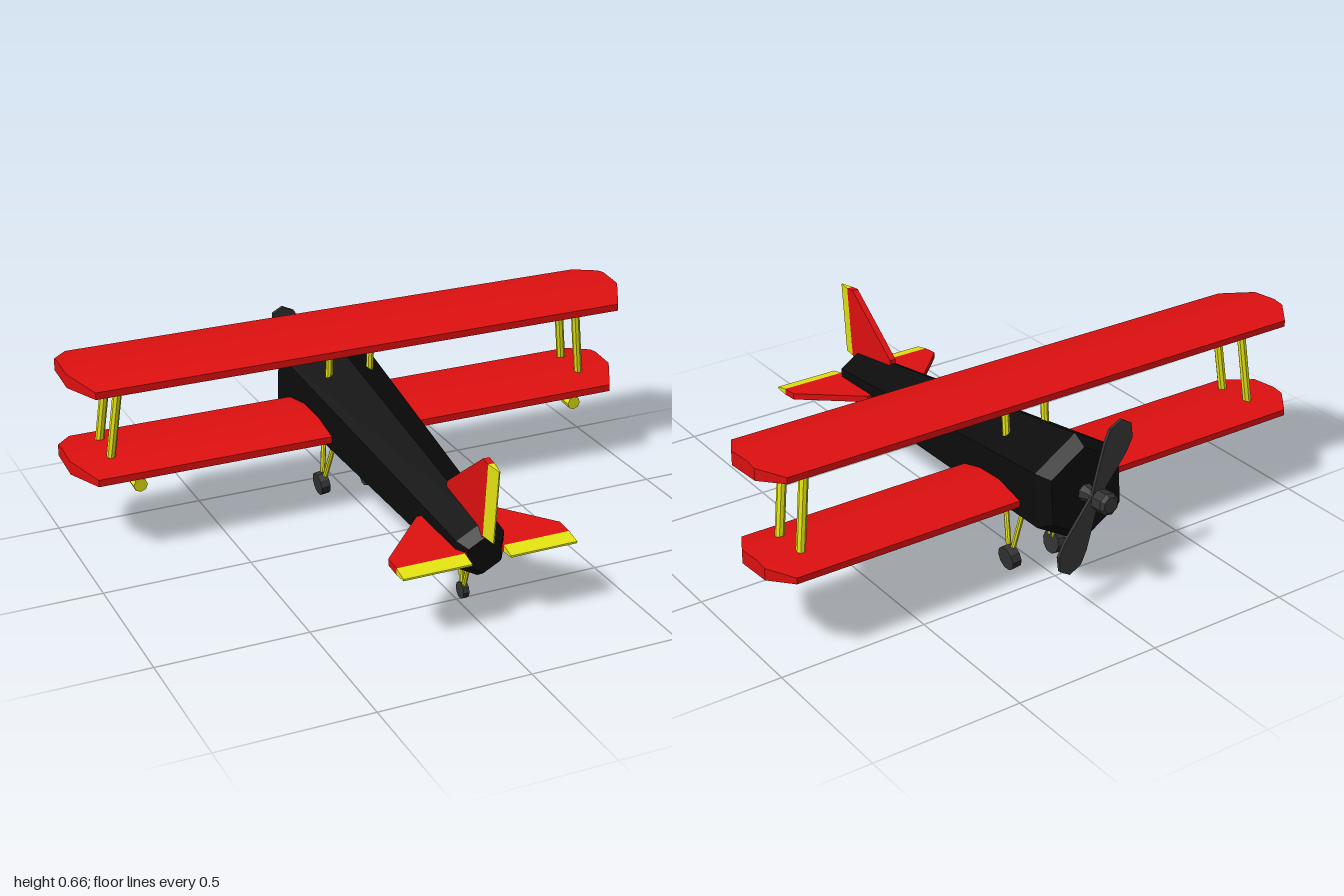
import * as THREE from 'three';
import { ConvexGeometry } from 'three/addons/geometries/ConvexGeometry.js';
import { toCreasedNormals } from 'three/addons/utils/BufferGeometryUtils.js';

const TILT = 0.097; // nose-up attitude of the body
const V = (x, y, z) => new THREE.Vector3(x, y, z);
const material = (color, flatShading = true) => new THREE.MeshStandardMaterial({ color, flatShading });

export function createModel() {
  const model = new THREE.Group();
  const black = material(0x0c0c0c), grey = material(0x333333);
  const red = material(0xe01010), yellow = material(0xe6e612);
  const smoothRed = material(0xe01010, false);

  const add = (name, geometry, mat, parent = model) => {
    const mesh = new THREE.Mesh(geometry, mat);
    mesh.name = name;
    parent.add(mesh);
    return mesh;
  };

  // Round bar between two points
  const bar = (name, a, b, radius, mat = yellow, sides = 8) => {
    const dir = b.clone().sub(a);
    const mesh = add(name, new THREE.CylinderGeometry(radius, radius, dir.length(), sides), mat);
    mesh.position.copy(a).add(b).multiplyScalar(0.5);
    mesh.quaternion.setFromUnitVectors(V(0, 1, 0), dir.normalize());
    return mesh;
  };

  // Turned body with its axis along z
  const turned = (points, sides) =>
    new THREE.LatheGeometry(points.map(([r, t]) => new THREE.Vector2(r, t)), sides).rotateX(Math.PI / 2);

  // Six-sided tapering fuselage with bevelled ends
  const body = add('fuselage', turned(
    [[0, 0], [0.148, 0], [0.18, 0.045], [0.094, 1.3], [0.065, 1.336], [0, 1.336]], 6), black);
  body.position.set(0, 0.378, -0.645);
  body.rotation.x = TILT;

  // Wings: cambered section with clipped tips
  const section = [[-0.152, 0.6], [-0.152, 0.624], [-0.246, 0.653], [-0.36, 0.665], [-0.48, 0.645], [-0.48, 0.624]];
  const tip = [[-0.265, 0.608], [-0.265, 0.655], [-0.36, 0.664], [-0.4, 0.658], [-0.4, 0.618]];
  const wingPoints = [];
  for (const s of [-1, 1]) {
    section.forEach(([z, y]) => wingPoints.push(V(s * 0.94, y, z)));
    tip.forEach(([z, y]) => wingPoints.push(V(s, y, z)));
  }
  const wing = toCreasedNormals(new ConvexGeometry(wingPoints), 0.5);
  add('upperWing', wing, smoothRed);
  add('lowerWing', wing, smoothRed).position.set(0, -0.315, -0.03);

  // Upright tail panel from [z, y, half thickness]
  const upright = (name, pts, mat) => add(name, new ConvexGeometry(
    pts.flatMap(([z, y, t]) => [V(t, y, z), V(-t, y, z)])), mat);
  upright('fin', [[0.443, 0.394, 0.011], [0.68, 0.571, 0.011], [0.715, 0.567, 0.011],
    [0.69, 0.32, 0.011], [0.67, 0.29, 0.011], [0.443, 0.34, 0.011]], red);
  upright('rudder', [[0.715, 0.567, 0.011], [0.69, 0.318, 0.011],
    [0.768, 0.563, 0.002], [0.743, 0.314, 0.002]], yellow);

  // Flat tail panel from [x, z, half thickness], sloping with the body
  const flat = (name, pts, mat) => add(name, new ConvexGeometry(pts.flatMap(([x, z, t]) => {
    const y = 0.277 - (z - 0.44) * 0.085;
    return [V(x, y + t, z), V(x, y - t, z)];
  })), mat);

  for (const s of [-1, 1]) {
    const side = s > 0 ? 'left' : 'right';

    flat(side + 'Tailplane', [[s * 0.04, 0.435, 0.011], [s * 0.11, 0.435, 0.011], [s * 0.293, 0.625, 0.011],
      [s * 0.293, 0.682, 0.011], [s * 0.04, 0.682, 0.011]], red);
    flat(side + 'Elevator', [[s * 0.065, 0.682, 0.011], [s * 0.293, 0.682, 0.011],
      [s * 0.065, 0.733, 0.003], [s * 0.293, 0.733, 0.003]], yellow);

    // Wing struts
    bar(side + 'RearWingStrut', V(s * 0.83, 0.615, -0.263), V(s * 0.868, 0.32, -0.284), 0.015);
    bar(side + 'FrontWingStrut', V(s * 0.83, 0.625, -0.386), V(s * 0.868, 0.325, -0.408), 0.015);
    bar(side + 'CabaneStrut', V(s * 0.075, 0.62, -0.318), V(s * 0.075, 0.455, -0.333), 0.013);

    // Tube under the lower wing
    bar(side + 'UnderwingTube', V(s * 0.8, 0.261, -0.188), V(s * 0.8, 0.273, -0.357), 0.024);

    // Main landing gear
    bar(side + 'RearGearLeg', V(s * 0.063, 0.23, -0.313), V(s * 0.086, 0.05, -0.37), 0.009);
    bar(side + 'FrontGearLeg', V(s * 0.063, 0.23, -0.413), V(s * 0.086, 0.05, -0.38), 0.009);
    bar(side + 'MainWheel', V(s * 0.073, 0.047, -0.378), V(s * 0.106, 0.043, -0.378), 0.041, grey, 10);
  }

  // Tail wheel
  bar('tailWheelLegRear', V(0, 0.18, 0.583), V(0, 0.06, 0.545), 0.008);
  bar('tailWheelLegFront', V(0, 0.18, 0.514), V(0, 0.06, 0.54), 0.008);
  bar('tailWheel', V(-0.01, 0.06, 0.542), V(0.01, 0.06, 0.542), 0.028, grey, 10);

  // Propeller with two paddle blades
  const propeller = new THREE.Group();
  propeller.name = 'propeller';
  propeller.position.set(0, 0.379, -0.688);
  propeller.rotation.set(TILT, 0, 0.53);
  model.add(propeller);
  add('propellerHub', turned([[0, -0.08], [0.026, -0.08], [0.037, -0.07], [0.037, -0.028], [0.028, -0.017],
    [0.016, -0.013], [0.018, 0], [0.032, 0.05]], 8), grey, propeller);
  const outline = [[-0.015, 0], [0.015, 0], [0.046, 0.16], [0.047, 0.21], [0.02, 0.25],
    [-0.02, 0.25], [-0.047, 0.21], [-0.046, 0.16]].map(([x, y]) => new THREE.Vector2(x, y));
  const blade = new THREE.ExtrudeGeometry(new THREE.Shape(outline), { depth: 0.012, bevelEnabled: false });
  blade.translate(0, 0, -0.006);
  for (let i = 0; i < 2; i++) add('propellerBlade', blade, grey, propeller).rotation.z = i * Math.PI;

  return model;
}
